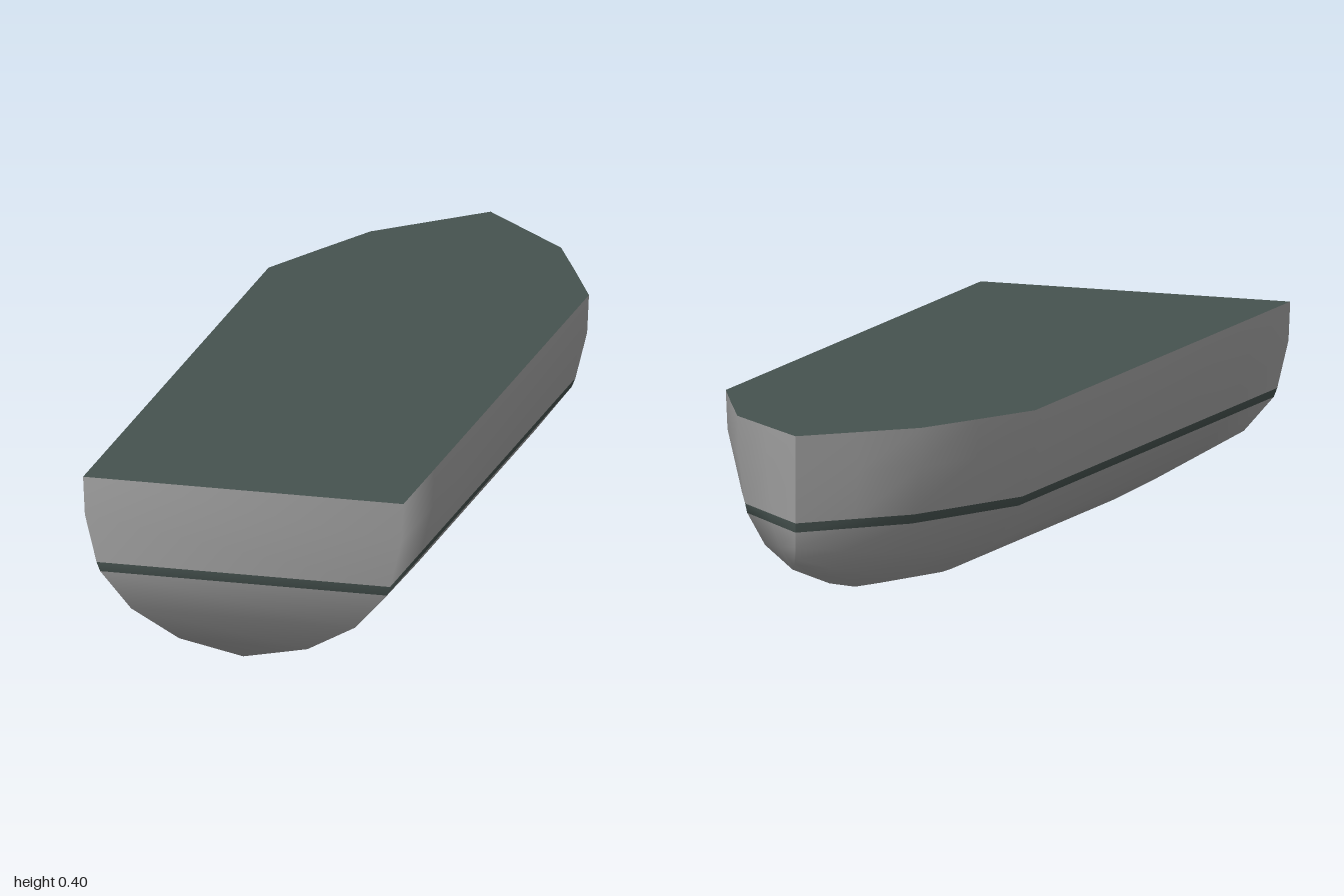
import * as THREE from 'three';

const hullGrey = new THREE.MeshStandardMaterial({ color: 0xa0a0a0 });
hullGrey.name = 'hull grey';
const deckGreen = new THREE.MeshStandardMaterial({ color: 0x46524f });
deckGreen.name = 'dark slate green';

const DECK_Y = 0.4, STRIPE_LOW = 0.19;

// Half profile amidships, deck edge down to keel: [half width, height]
const profile = [
  [0.357, DECK_Y], [0.353, 0.315], [0.327, 0.21], [0.319, STRIPE_LOW],
  [0.25, 0.1], [0.143, 0.033], [0, 0],
];
const STRIPE_ROW = 2;

// Stations from stern to bow: [z, keel height, width factor]
const stations = [
  [1, 0.025, 1], [0.75, 0.008, 1], [0.5, 0, 1], [-0.45, 0, 1], [-0.5, 0.002, 1],
  [-0.65, 0.017, 0.8], [-0.8, 0.048, 0.595], [-0.9, 0.08, 0.298], [-1, 0.12, 0],
];

// Lofted shell with the transom; the stripe is its own material group
function hullGeometry() {
  const keel = profile.length - 1, last = keel * 2, ring = last + 1;
  const positions = [], plain = [], stripe = [];
  for (const [z, keelY, width] of stations) {
    for (let i = 0; i < ring; i++) {
      const side = i < keel ? -1 : 1;
      const [x, y] = profile[i <= keel ? i : last - i];
      // only the part below the stripe rises with the keel
      const rise = y < STRIPE_LOW ? keelY * (1 - y / STRIPE_LOW) : 0;
      positions.push(side * x * width, y + rise, z);
    }
  }
  const quad = (list, a, b, c, d) => list.push(a, b, c, a, c, d);
  for (let j = 0; j < stations.length - 1; j++) {
    for (let i = 0; i < last; i++) {
      const isStripe = i === STRIPE_ROW || i === last - 1 - STRIPE_ROW;
      const a = j * ring + i;
      quad(isStripe ? stripe : plain, a, a + ring, a + ring + 1, a + 1);
    }
  }
  // transom, one strip per profile row
  for (let i = 0; i < keel; i++) {
    const list = i === STRIPE_ROW ? stripe : plain;
    if (i === keel - 1) list.push(i, i + 1, last - i);
    else quad(list, i, i + 1, last - i - 1, last - i);
  }
  const geometry = new THREE.BufferGeometry();
  geometry.setAttribute('position', new THREE.Float32BufferAttribute(positions, 3));
  geometry.setIndex([...plain, ...stripe]);
  geometry.addGroup(0, plain.length, 0);
  geometry.addGroup(plain.length, stripe.length, 1);
  geometry.computeVertexNormals();
  return geometry;
}

// Flat deck following the top edge of the stations
function deckGeometry() {
  const w = profile[0][0];
  const right = stations.map(([z, , f]) => new THREE.Vector2(w * f, -z));
  const left = stations.slice(0, -1).reverse().map(([z, , f]) => new THREE.Vector2(-w * f, -z));
  const geometry = new THREE.ShapeGeometry(new THREE.Shape([...right, ...left]));
  geometry.rotateX(-Math.PI / 2);
  geometry.translate(0, DECK_Y, 0);
  return geometry;
}

export function createModel() {
  const group = new THREE.Group();
  group.name = 'boatHull';

  const hull = new THREE.Mesh(hullGeometry(), [hullGrey, deckGreen]);
  hull.name = 'hullWithStripe';
  group.add(hull);

  const deck = new THREE.Mesh(deckGeometry(), deckGreen);
  deck.name = 'deck';
  group.add(deck);

  return group;
}
